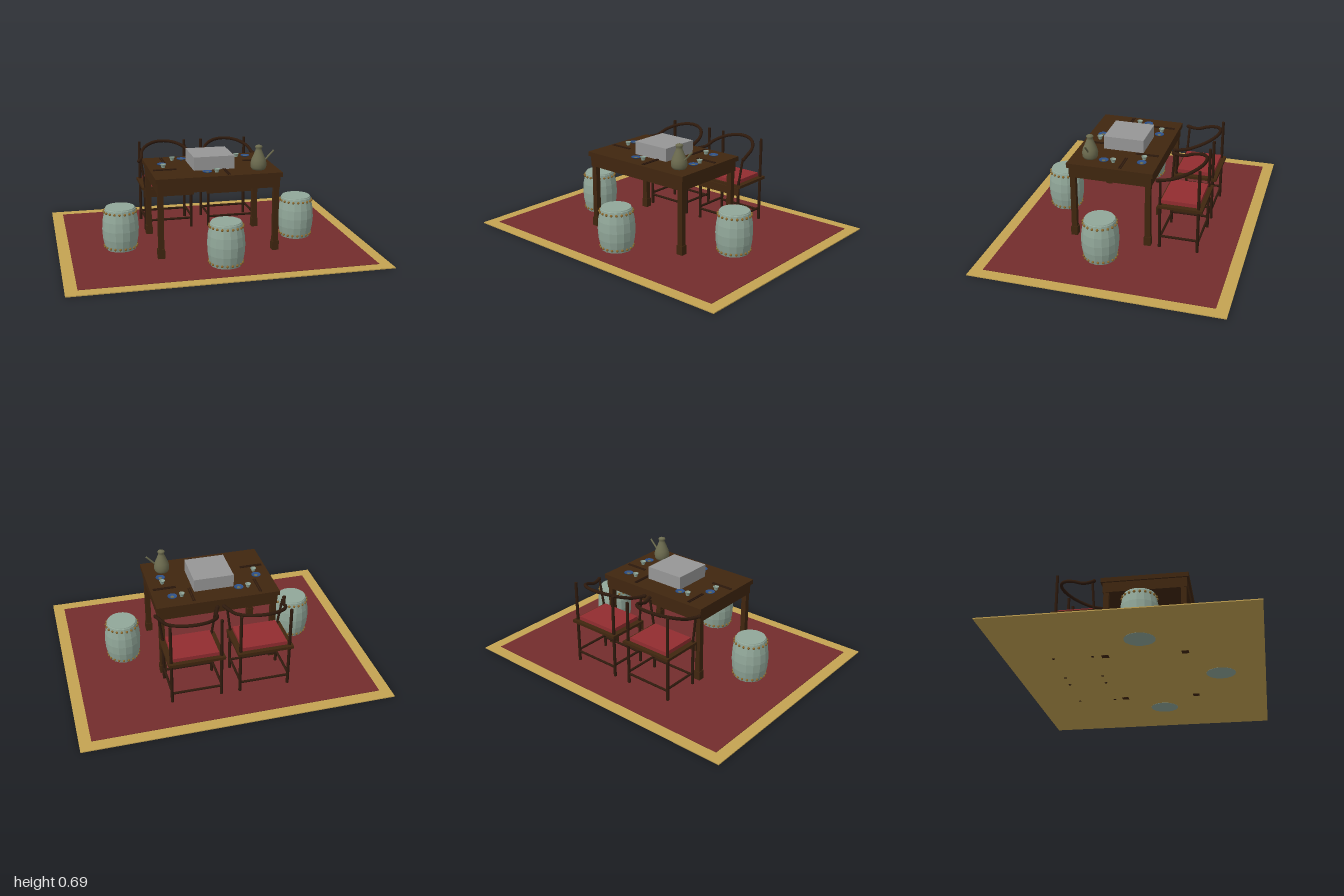
import * as THREE from 'three';

const mat = (name, color, side = THREE.FrontSide, flatShading = false) => {
  const m = new THREE.MeshStandardMaterial({ color, side, flatShading });
  m.name = name;
  return m;
};

export function createModel() {
  const model = new THREE.Group();
  model.name = 'diningSet';

  const wood = mat('tableWood', 0x40260f);
  const darkWood = mat('chairWood', 0x2e1a0d);
  const gold = mat('rugGold', 0xc4a352);
  const rugRed = mat('rugRed', 0x732d2d);
  const cushionRed = mat('cushionRed', 0x922d30);
  const celadon = mat('celadon', 0x91a799, THREE.DoubleSide, true);
  const brass = mat('brass', 0x8c6a30);
  const grey = mat('grey', 0x969696);
  const blue = mat('blueGlaze', 0x2c4f86, THREE.DoubleSide);
  const pewter = mat('pewter', 0x6b6a4e, THREE.DoubleSide);

  const add = (parent, name, geo, material, x = 0, y = 0, z = 0) => {
    const m = new THREE.Mesh(geo, material);
    m.name = name;
    m.position.set(x, y, z);
    parent.add(m);
    return m;
  };
  // box given by its centre in x and z and its bottom and top heights
  const box = (parent, name, material, w, d, y0, y1, x = 0, z = 0) =>
    add(parent, name, new THREE.BoxGeometry(w, y1 - y0, d), material, x, (y0 + y1) / 2, z);
  const group = (name, x = 0, y = 0, z = 0) => {
    const g = new THREE.Group();
    g.name = name;
    g.position.set(x, y, z);
    model.add(g);
    return g;
  };
  const lathe = (pts, n) => new THREE.LatheGeometry(pts.map(p => new THREE.Vector2(...p)), n);
  // round bar between two points
  const bar = (parent, name, material, a, b, r) => {
    const va = new THREE.Vector3(...a), vb = new THREE.Vector3(...b);
    const m = add(parent, name, new THREE.CylinderGeometry(r, r, va.distanceTo(vb), 10), material);
    m.position.copy(va).add(vb).multiplyScalar(0.5);
    m.quaternion.setFromUnitVectors(new THREE.Vector3(0, 1, 0), vb.sub(va).normalize());
    return m;
  };

  // Rug: gold border with a red field
  const rug = group('rug');
  box(rug, 'rugBorder', gold, 2, 1.59, 0.001, 0.007);
  box(rug, 'rugField', rugRed, 1.85, 1.44, 0.006, 0.01);

  // Table
  const table = group('table', 0, 0, 0.075);
  box(table, 'tableTop', wood, 0.81, 0.56, 0.5, 0.53);
  box(table, 'tableApron', wood, 0.786, 0.535, 0.432, 0.5);
  for (const sx of [-1, 1]) for (const sz of [-1, 1]) {
    box(table, 'tableLeg', wood, 0.035, 0.035, 0, 0.44, sx * 0.372, sz * 0.245);
    box(table, 'tableFoot', wood, 0.044, 0.044, 0, 0.07, sx * 0.372, sz * 0.245);
  }

  // Two horseshoe-back armchairs
  for (const cx of [-0.221, 0.221]) {
    const chair = group('chair', cx, 0, 0);
    box(chair, 'seatFrame', wood, 0.362, 0.285, 0.298, 0.316, 0, -0.377);
    box(chair, 'cushion', cushionRed, 0.29, 0.24, 0.312, 0.341, 0, -0.37);
    box(chair, 'frontApron', wood, 0.35, 0.01, 0.247, 0.3, 0, -0.232);
    for (const s of [-1, 1]) {
      bar(chair, 'frontLeg', darkWood, [s * 0.16, 0, -0.247], [s * 0.16, 0.325, -0.247], 0.01);
      bar(chair, 'armPost', darkWood, [s * 0.16, 0.32, -0.247], [s * 0.184, 0.5, -0.255], 0.008);
      bar(chair, 'backPost', darkWood, [s * 0.16, 0, -0.492], [s * 0.16, 0.58, -0.492], 0.01);
      bar(chair, 'sideStretcher', darkWood, [s * 0.16, 0.09, -0.247], [s * 0.16, 0.09, -0.492], 0.008);
    }
    for (const z of [-0.247, -0.492])
      bar(chair, 'crossStretcher', darkWood, [-0.16, 0.075, z], [0.16, 0.075, z], 0.008);
    // Arm rail: flared ends, then an arch that rises towards the back
    const pts = [[-0.2, -0.242], [-0.184, -0.28]];
    for (let i = 0; i <= 10; i++) {
      const a = Math.PI * i / 10;
      pts.push([-0.17 * Math.cos(a), -0.325 - 0.175 * Math.sin(a)]);
    }
    pts.push([0.184, -0.28], [0.2, -0.242]);
    const path = new THREE.CatmullRomCurve3(pts.map(([x, z]) =>
      new THREE.Vector3(x, 0.503 + Math.max(0, -0.31 - z) * 0.39, z)));
    add(chair, 'armRail', new THREE.TubeGeometry(path, 48, 0.011, 8), darkWood);
    for (const s of [-1, 1])
      add(chair, 'armEnd', new THREE.SphereGeometry(0.013, 10, 8), darkWood, s * 0.2, 0.503, -0.242);
  }

  // Barrel stools with rows of studs
  const barrel = lathe([[0, 0], [0.095, 0], [0.106, 0.04], [0.115, 0.085], [0.119, 0.145],
    [0.115, 0.205], [0.106, 0.25], [0.1, 0.28], [0.096, 0.284], [0, 0.284]], 16);
  const stud = new THREE.SphereGeometry(0.0085, 8, 6);
  for (const [x, z] of [[-0.595, 0.075], [0.593, 0.075], [0, 0.512]]) {
    const stool = group('stool', x, 0, z);
    add(stool, 'stoolBody', barrel, celadon);
    add(stool, 'stoolTop', new THREE.CylinderGeometry(0.094, 0.096, 0.006, 24), celadon, 0, 0.286, 0);
    for (const y of [0.03, 0.262]) for (let i = 0; i < 20; i++) {
      const a = (i + 0.5) * Math.PI / 10;
      add(stool, 'stud', stud, brass, 0.105 * Math.sin(a), y, 0.105 * Math.cos(a));
    }
  }

  // Box in the middle of the table
  box(model, 'centreBox', grey, 0.265, 0.265, 0.525, 0.616, 0, 0.06);

  // Wine jug with spout
  const jug = group('jug', 0.279, 0.53, 0.236);
  add(jug, 'jugBody', lathe([[0, 0], [0.042, 0], [0.05, 0.015], [0.051, 0.04], [0.045, 0.065],
    [0.03, 0.1], [0.02, 0.125], [0.018, 0.137], [0.025, 0.145], [0.02, 0.152], [0.008, 0.157], [0, 0.161]], 20), pewter);
  bar(jug, 'jugSpout', pewter, [0.035, 0.05, 0], [0.1, 0.118, 0], 0.006);

  // Place settings: plate, cup and chopsticks
  const plate = lathe([[0, 0.002], [0.016, 0.002], [0.031, 0.01], [0.03, 0.012], [0.015, 0.004], [0, 0.004]], 20);
  const cup = lathe([[0, 0.001], [0.011, 0.001], [0.013, 0.01], [0.019, 0.024], [0.017, 0.024], [0.01, 0.006], [0, 0.006]], 14);
  for (const [x, z, turn] of [[0, 0.262, 0], [0.31, 0.075, 1], [-0.31, 0.075, -1], [-0.22, -0.102, 2], [0.22, -0.102, 2]]) {
    const set = group('placeSetting', x, 0.53, z);
    set.rotation.y = turn * Math.PI / 2;
    add(set, 'plate', plate, blue, -0.062, 0, 0);
    add(set, 'plateCentre', new THREE.CylinderGeometry(0.012, 0.012, 0.002, 16), pewter, -0.062, 0.005, 0);
    add(set, 'cup', cup, celadon);
    for (const s of [-1, 1])
      box(set, 'chopstick', darkWood, 0.006, 0.15, 0, 0.006, 0.064 + s * 0.006, 0);
  }

  return model;
}
